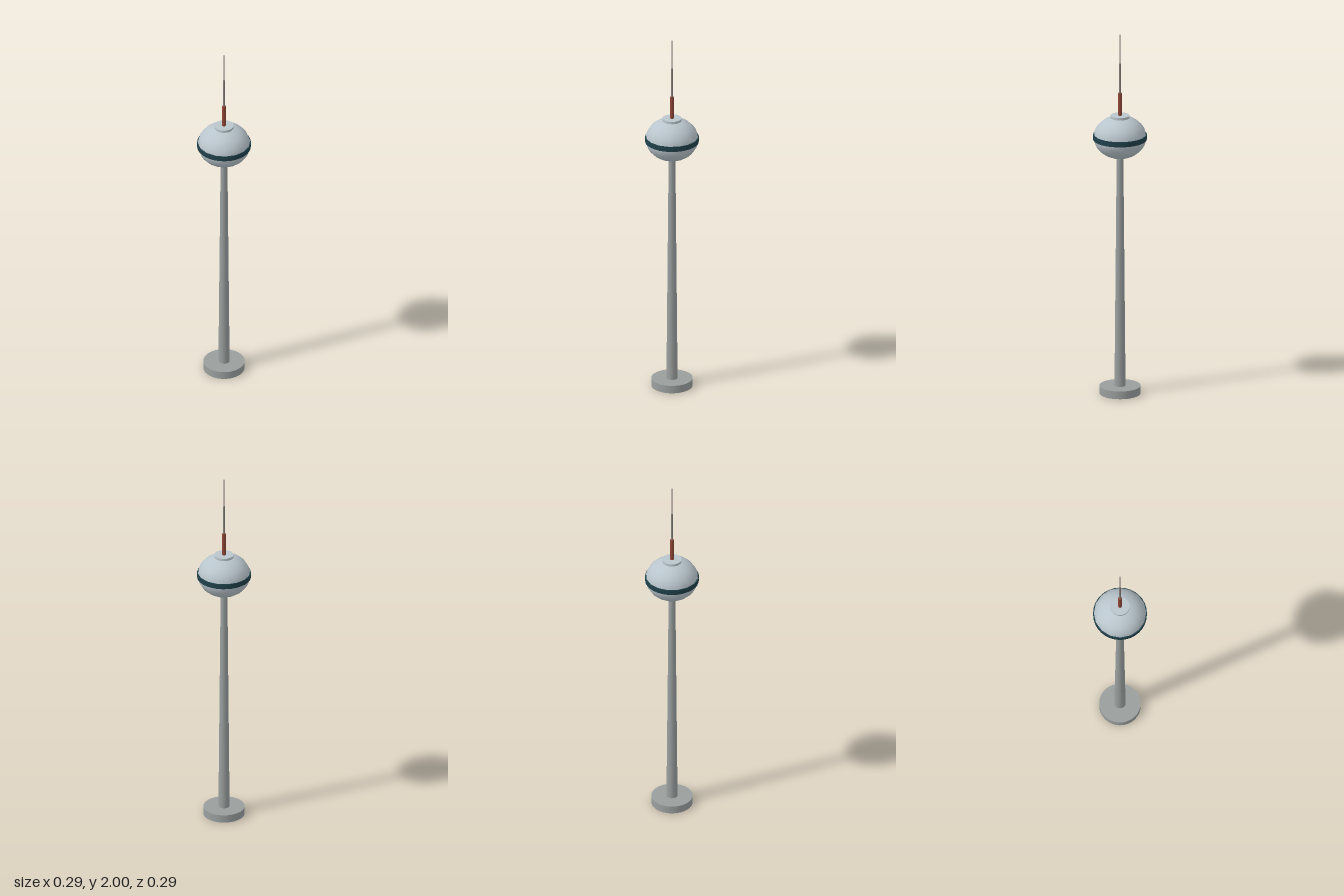
import * as THREE from 'three';

const paint = (color) => new THREE.MeshStandardMaterial({ color });

export function createModel() {
  const tower = new THREE.Group();
  tower.name = 'tower';
  const concrete = paint(0x9a9f9e);
  const shell = paint(0xb9c5cc);
  const glass = paint(0x20404a);
  const red = paint(0x8f4636);
  const steel = paint(0x85807c);

  const add = (name, geometry, material, y) => {
    const mesh = new THREE.Mesh(geometry, material);
    mesh.name = name;
    mesh.position.y = y;
    tower.add(mesh);
    return mesh;
  };
  // Round section standing between two heights
  const column = (name, rTop, rBottom, y0, y1, material, sides) =>
    add(name, new THREE.CylinderGeometry(rTop, rBottom, y1 - y0, sides), material, (y0 + y1) / 2);

  // Footing and tapering shaft
  column('base', 0.11, 0.11, 0, 0.043, concrete, 32);
  column('shaft', 0.018, 0.03, 0.043, 1.34, concrete, 16);

  // Flattened observation pod with its window band and roof cap
  const pod = add('pod', new THREE.SphereGeometry(0.141, 16, 16), shell, 1.43);
  pod.scale.y = 0.116 / 0.141;
  column('windowBand', 0.143, 0.143, 1.417, 1.445, glass, 32);
  column('roofCap', 0.051, 0.051, 1.53, 1.551, shell, 32);

  // Antenna, thinner at each stage
  column('mast', 0.01, 0.01, 1.551, 1.675, red, 12);
  column('lowerAntenna', 0.0045, 0.0045, 1.675, 1.84, steel, 8);
  column('upperAntenna', 0.003, 0.003, 1.84, 2, steel, 8);

  return tower;
}
